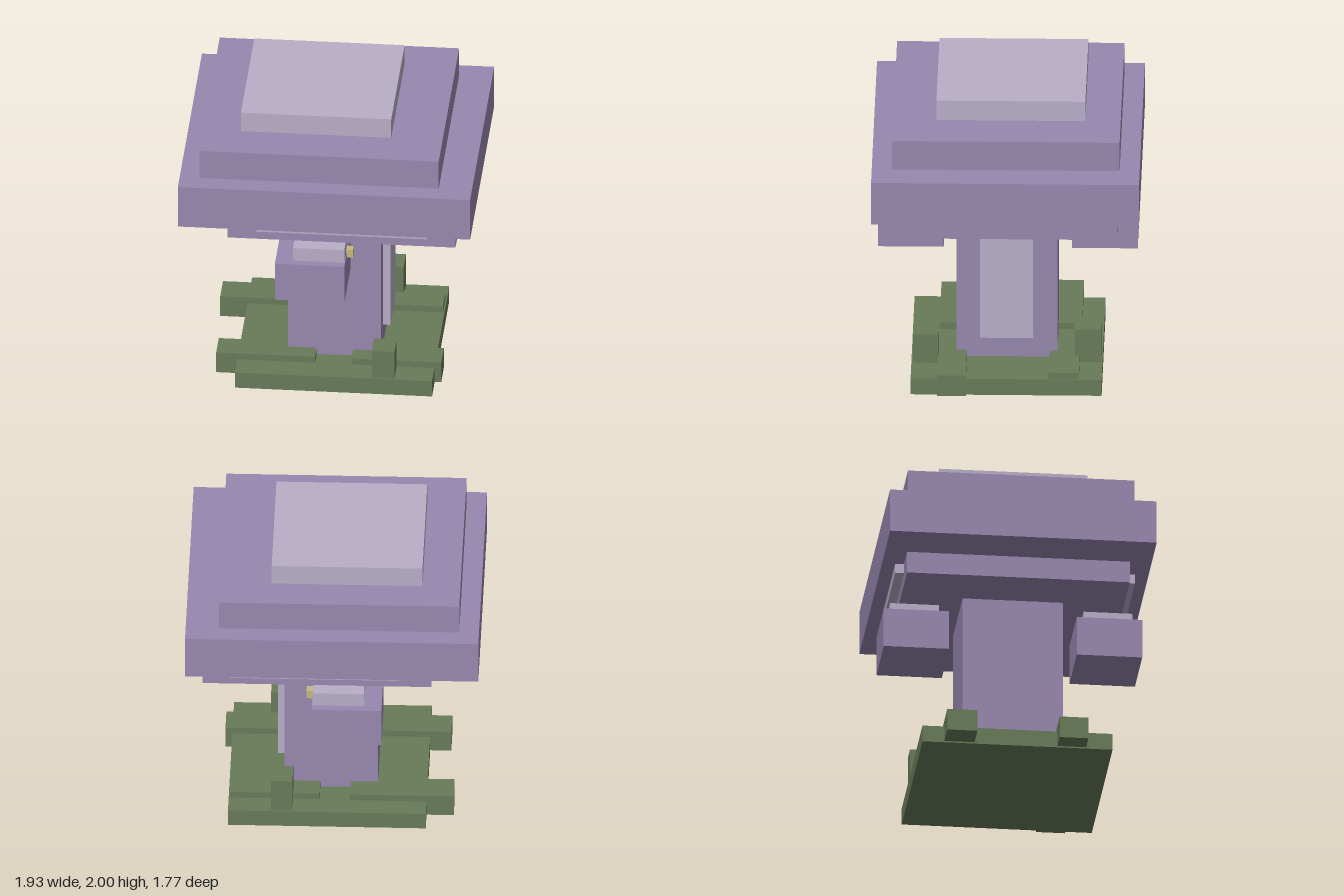
import * as THREE from 'three';

const mat = (name, color) => Object.assign(new THREE.MeshStandardMaterial({ color }), { name });

export function createModel() {
  const purple = mat('purple', 0x9788af);
  const lilac = mat('lilac', 0xb8aec8);
  const moss = mat('moss green', 0x697b59);
  const gold = mat('gold', 0xc8b87c);

  const model = new THREE.Group();
  model.name = 'blockMushroom';

  // Adds a box given its extent along each axis
  const box = (parent, name, material, [x0, x1], [y0, y1], [z0, z1]) => {
    const mesh = new THREE.Mesh(new THREE.BoxGeometry(x1 - x0, y1 - y0, z1 - z0), material);
    mesh.position.set((x0 + x1) / 2, (y0 + y1) / 2, (z0 + z1) / 2);
    mesh.name = name;
    parent.add(mesh);
  };
  const group = (name) => {
    const g = new THREE.Group();
    g.name = name;
    model.add(g);
    return g;
  };

  // Mossy ground: slab, four low roots and two upright tufts
  const base = group('base');
  box(base, 'groundSlab', moss, [-0.615, 0.69], [0, 0.115], [-0.63, 0.63]);
  box(base, 'frontLeftRoot', moss, [0.14, 0.735], [0.01, 0.16], [0.265, 0.455]);
  box(base, 'frontRightRoot', moss, [-0.755, -0.1], [0.01, 0.16], [0.265, 0.455]);
  box(base, 'backLeftRoot', moss, [0.09, 0.68], [0.01, 0.16], [-0.48, -0.28]);
  box(base, 'backRightRoot', moss, [-0.795, -0.11], [0.01, 0.16], [-0.485, -0.285]);
  box(base, 'frontTuft', moss, [0.29, 0.44], [0.05, 0.32], [0.45, 0.62]);
  box(base, 'backTuft', moss, [0.265, 0.405], [0.05, 0.35], [-0.62, -0.445]);

  // Stem with a pale panel on its left side
  const stem = group('stem');
  box(stem, 'trunk', purple, [-0.29, 0.325], [0.1, 1.21], [-0.33, 0.335]);
  box(stem, 'sidePanel', lilac, [0.32, 0.375], [0.27, 1.005], [-0.175, 0.18]);

  // Stepped cap
  const cap = group('cap');
  box(cap, 'capUnderside', purple, [-0.655, 0.855], [1.205, 1.355], [-0.737, 0.74]);
  box(cap, 'capRim', purple, [-0.97, 0.965], [1.355, 1.655], [-0.882, 0.885]);
  box(cap, 'capUpperStep', purple, [-0.84, 0.745], [1.655, 1.86], [-0.75, 0.75]);
  box(cap, 'capTop', lilac, [-0.59, 0.405], [1.86, 2], [-0.517, 0.465]);

  // Pale trim and a small shelf with a gold bud, front and back
  for (const [side, s] of [['front', 1], ['back', -1]]) {
    const span = (a, b) => (s > 0 ? [a, b] : [-b, -a]);
    box(cap, side + 'Trim', lilac, [-0.46, 0.67], [1.29, 1.355], span(0.73, 0.795));
    const shelf = group(side + 'Shelf');
    box(shelf, 'shelfBody', purple, [-0.33, 0.13], [0.815, 1.088], span(0.423, 0.857));
    box(shelf, 'shelfTop', lilac, [-0.215, 0.125], [1.088, 1.183], span(0.48, 0.803));
    box(shelf, 'goldBud', gold, [0.12, 0.17], [1.05, 1.108], span(0.61, 0.667));
  }
  return model;
}
